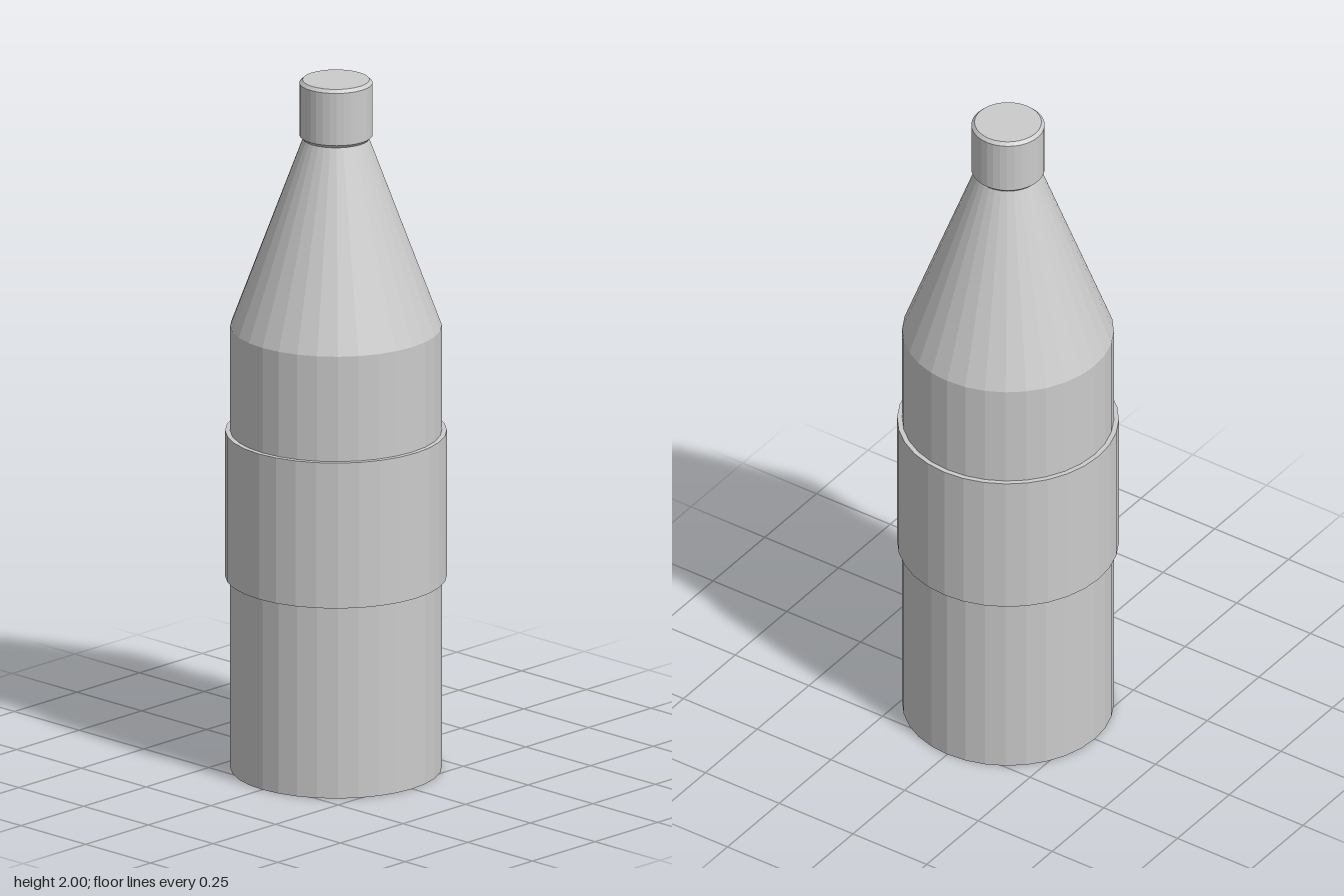
import * as THREE from 'three';

const SIDES = 32;

// Faceted solid of revolution from a [radius, height] profile, listed bottom to top
function turned(name, profile) {
  const points = profile.map(([r, y]) => new THREE.Vector2(r, y));
  const material = new THREE.MeshStandardMaterial({ color: 0xcccccc, flatShading: true });
  const mesh = new THREE.Mesh(new THREE.LatheGeometry(points, SIDES), material);
  mesh.name = name;
  return mesh;
}

export function createModel() {
  const bottle = new THREE.Group();
  bottle.name = 'bottle';

  // Straight body with a conical shoulder running up to the neck
  bottle.add(turned('body', [[0, 0], [0.294, 0], [0.294, 1.285], [0.088, 1.84], [0, 1.84]]));

  // Raised band wrapped around the body
  bottle.add(turned('labelBand', [[0.294, 0.557], [0.308, 0.557], [0.308, 0.98], [0.294, 0.98]]));

  // Cap with bevelled rims
  bottle.add(turned('cap', [
    [0, 1.83], [0.093, 1.83], [0.102, 1.839], [0.102, 1.991], [0.093, 2], [0, 2],
  ]));

  return bottle;
}
